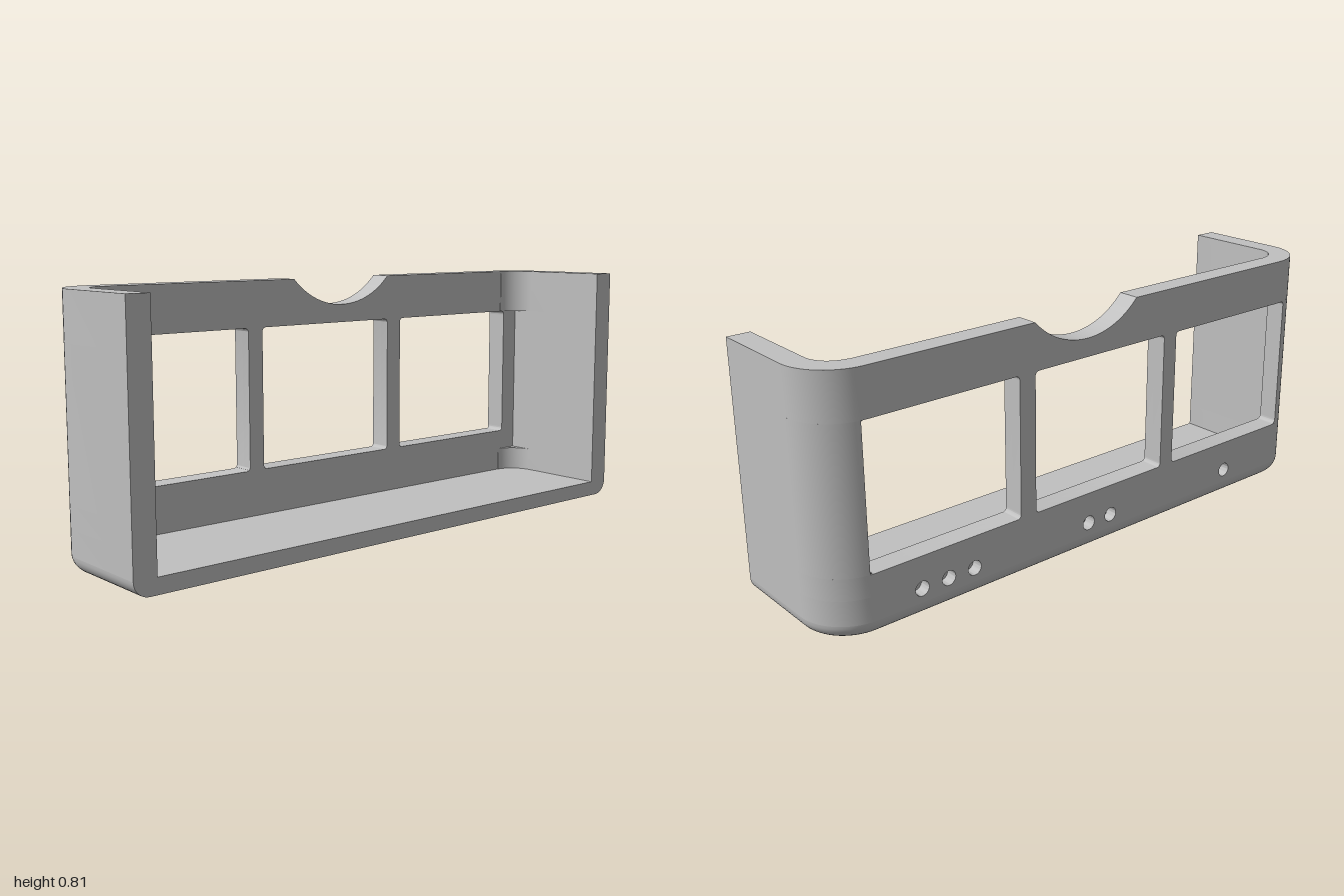
import * as THREE from 'three';
import { toCreasedNormals } from 'three/addons/utils/BufferGeometryUtils.js';

const X = 0.23, Z = 1, TOP = 0.81, FLOOR = 0.05;     // overall half sizes and heights
const R = 0.16, IN_X = -0.157, IN_Z = 0.925;         // corner radius, inner wall faces
const CX = -X + R, CZ = Z - R;                       // corner centre
const WIN_LOW = 0.2, WIN_HIGH = 0.66, WIN_R = 0.015; // window heights and corner radius

// Points of an arc in the plan, angles measured from +x towards +z
function arc(cx, cz, r, from, to, steps = 14) {
  return Array.from({ length: steps + 1 }, (_, i) => {
    const a = from + (to - from) * i / steps;
    return new THREE.Vector2(cx + r * Math.cos(a), cz + r * Math.sin(a));
  });
}

// Extrude a plan outline (x, z) upwards between two heights
function upright(points, side, y0, y1) {
  const shape = new THREE.Shape(points.map(p => new THREE.Vector2(p.x, -p.y * side)));
  const geo = new THREE.ExtrudeGeometry(shape, { depth: y1 - y0, bevelEnabled: false });
  return geo.rotateX(-Math.PI / 2).translate(0, y0, 0);
}

// Extrude an outline (z, y) from x0 towards -x
function sideways(shape, x0, x1) {
  const geo = new THREE.ExtrudeGeometry(shape, { depth: x0 - x1, bevelEnabled: false, curveSegments: 24 });
  return geo.rotateY(-Math.PI / 2).translate(x0, 0, 0);
}

// Floor slab whose lower edge is rounded on three sides
function floorGeometry() {
  const pos = [], idx = [], rings = 8;
  let n = 0;
  for (let i = 0; i <= rings; i++) {
    const t = i / rings * Math.PI / 2;
    const d = FLOOR * (1 - Math.sin(t)), y = FLOOR * (1 - Math.cos(t));
    const half = arc(CX, CZ, R - d, Math.PI, Math.PI / 2);
    half.push(new THREE.Vector2(X, Z - d));
    const ring = [...half.map(p => new THREE.Vector2(p.x, -p.y)).reverse(), ...half];
    n = ring.length;
    ring.forEach(p => pos.push(p.x, y, p.y));
  }
  const low = pos.length / 3, high = low + 1, last = rings * n;
  pos.push(0, 0, 0, 0, FLOOR, 0);
  for (let j = 0; j < n; j++) {
    const k = (j + 1) % n;
    for (let i = 0; i < rings; i++) {
      const a = i * n + j, b = i * n + k;
      idx.push(a, b, b + n, a, b + n, a + n);
    }
    idx.push(low, k, j, high, last + j, last + k);
  }
  const geo = new THREE.BufferGeometry();
  geo.setAttribute('position', new THREE.Float32BufferAttribute(pos, 3));
  geo.setIndex(idx);
  return geo;
}

// Back panel outline with open outer windows, finger notch and middle window
function panelShape() {
  const s = new THREE.Shape(), r = WIN_R;
  s.moveTo(-CZ, FLOOR);
  s.lineTo(CZ, FLOOR);
  const a = 0.335, b = -0.32;
  s.lineTo(CZ, WIN_LOW);
  s.lineTo(a + r, WIN_LOW);
  s.quadraticCurveTo(a, WIN_LOW, a, WIN_LOW + r);
  s.lineTo(a, WIN_HIGH - r);
  s.quadraticCurveTo(a, WIN_HIGH, a + r, WIN_HIGH);
  s.lineTo(CZ, WIN_HIGH);
  s.lineTo(CZ, TOP);
  s.lineTo(0.15, TOP);
  const start = Math.atan2(-0.188, 0.205);
  s.absarc(-0.055, TOP + 0.188, 0.278, start, -Math.PI - start, true);
  s.lineTo(-CZ, TOP);
  s.lineTo(-CZ, WIN_HIGH);
  s.lineTo(b - r, WIN_HIGH);
  s.quadraticCurveTo(b, WIN_HIGH, b, WIN_HIGH - r);
  s.lineTo(b, WIN_LOW + r);
  s.quadraticCurveTo(b, WIN_LOW, b - r, WIN_LOW);
  s.lineTo(-CZ, WIN_LOW);
  s.closePath();

  const h = new THREE.Path(), z0 = -0.26, z1 = 0.28;
  h.moveTo(z0 + r, WIN_LOW);
  h.lineTo(z1 - r, WIN_LOW);
  h.quadraticCurveTo(z1, WIN_LOW, z1, WIN_LOW + r);
  h.lineTo(z1, WIN_HIGH - r);
  h.quadraticCurveTo(z1, WIN_HIGH, z1 - r, WIN_HIGH);
  h.lineTo(z0 + r, WIN_HIGH);
  h.quadraticCurveTo(z0, WIN_HIGH, z0, WIN_HIGH - r);
  h.lineTo(z0, WIN_LOW + r);
  h.quadraticCurveTo(z0, WIN_LOW, z0 + r, WIN_LOW);
  s.holes.push(h);
  return s;
}

export function createModel() {
  const group = new THREE.Group();
  group.name = 'wallHolder';
  const grey = new THREE.MeshStandardMaterial({ color: 0xc0c0c0 });
  grey.name = 'lightGrey';
  const add = (name, geo) => {
    const mesh = new THREE.Mesh(toCreasedNormals(geo, 0.5), grey);
    mesh.name = name;
    group.add(mesh);
  };

  add('floor', floorGeometry());

  // Back panel in two layers, the outer one drilled with blind holes
  const mid = -0.19;
  add('backPanelInner', sideways(panelShape(), IN_X, mid));
  const drilled = panelShape();
  for (const z of [-0.69, -0.595, -0.5, -0.04, 0.055, 0.605]) {
    drilled.holes.push(new THREE.Path().absarc(z, 0.095, 0.024, 0, Math.PI * 2));
  }
  add('backPanelOuter', sideways(drilled, mid, -X));

  // End walls with rounded corners, stacked in bands
  const v = (x, z) => new THREE.Vector2(x, z);
  const outer = z => [v(X, Z), ...arc(CX, CZ, R, Math.PI / 2, Math.PI - Math.asin((z - CZ) / R))];
  const rounded = [...outer(CZ), ...arc(CX, CZ, IN_Z - CZ, Math.PI, Math.PI / 2), v(X, IN_Z)];
  rounded.forEach(p => { if (p.x < IN_X && p.x > -X + 0.07) p.x = IN_X; });
  const square = z => [...outer(z), v(IN_X, z), v(IN_X, IN_Z), v(X, IN_Z)];

  for (const [side, name, edge] of [[1, 'frontWall', 0.88], [-1, 'rearWall', 0.86]]) {
    add(name + 'Foot', upright(rounded, side, FLOOR, 0.13));
    add(name + 'Sill', upright(square(CZ), side, 0.13, WIN_LOW));
    add(name + 'Middle', upright(square(edge), side, WIN_LOW, WIN_HIGH));
    add(name + 'Top', upright(rounded, side, WIN_HIGH, TOP));

    // Small fillets in the outer window corners
    for (const [y, up] of [[WIN_LOW, 1], [WIN_HIGH, -1]]) {
      const f = new THREE.Shape();
      f.moveTo(edge * side, y);
      f.lineTo((edge - WIN_R) * side, y);
      f.quadraticCurveTo(edge * side, y, edge * side, y + WIN_R * up);
      f.closePath();
      add(name + 'WindowFillet', sideways(f, IN_X, -0.225));
    }
  }
  return group;
}
